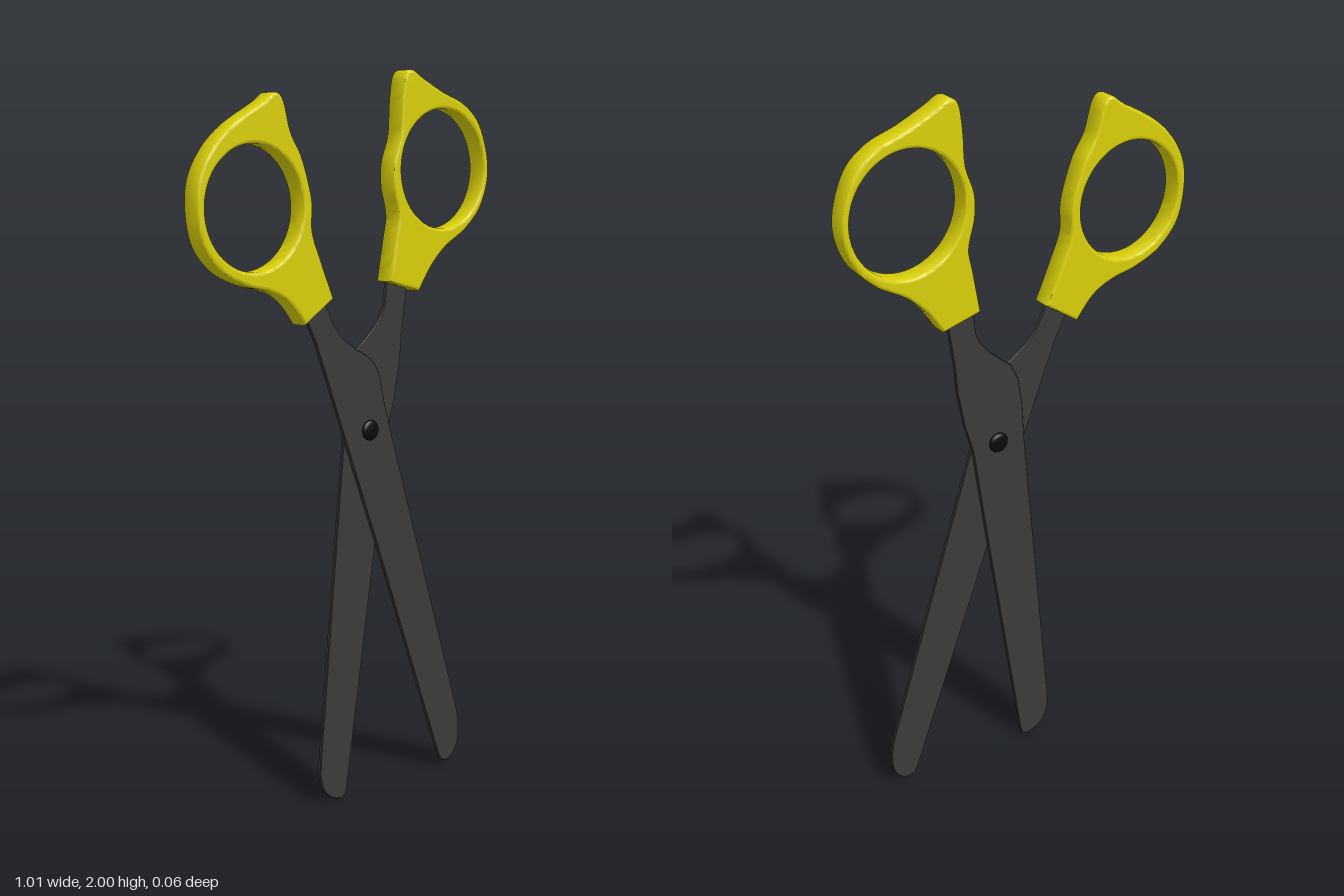
import * as THREE from 'three';
import { toCreasedNormals } from 'three/addons/utils/BufferGeometryUtils.js';

const yellow = new THREE.MeshStandardMaterial({ color: 0xd8ce08 });
const steel = new THREE.MeshStandardMaterial({ color: 0x3a3a3a });
const black = new THREE.MeshStandardMaterial({ color: 0x0a0a0a });

const vectors = (pts) => pts.map(([x, y]) => new THREE.Vector2(x, y));

function addMesh(parent, name, geometry, material) {
  const mesh = new THREE.Mesh(geometry, material);
  mesh.name = name;
  parent.add(mesh);
  return mesh;
}

// Rounded plastic handle: smooth outline, square end at the blade, finger hole.
// The outline runs counter-clockwise and the hole clockwise.
function handleGeometry(outline, [cx, cy, rx, ry]) {
  const shape = new THREE.Shape(new THREE.SplineCurve(vectors(outline)).getPoints(110));
  const hole = new THREE.Path();
  hole.absellipse(cx, cy, rx, ry, 0, Math.PI * 2, true);
  shape.holes.push(hole);
  const half = 0.03, bevel = 0.009;
  const extruded = new THREE.ExtrudeGeometry(shape, {
    depth: 2 * (half - bevel), curveSegments: 40,
    bevelThickness: bevel, bevelSize: bevel, bevelOffset: -bevel, bevelSegments: 4,
  });
  extruded.translate(0, 0, bevel - half);
  const geo = toCreasedNormals(extruded, 0.7);

  // Keep the front and back faces evenly flat
  const pos = geo.attributes.position, normal = geo.attributes.normal;
  for (let i = 0; i < pos.count; i += 3) {
    const corners = [i, i + 1, i + 2];
    const side = Math.sign(pos.getZ(i));
    if (corners.every((c) => pos.getZ(c) * side > half - 1e-4)) {
      corners.forEach((c) => normal.setXYZ(c, 0, 0, side));
    }
  }
  return geo;
}

// Flat blade with a fine chamfer, its back face at z0
function bladeGeometry(outline, z0) {
  const bevel = 0.002;
  const geo = new THREE.ExtrudeGeometry(new THREE.Shape(vectors(outline)), {
    depth: 0.0115 - 2 * bevel,
    bevelThickness: bevel, bevelSize: bevel, bevelOffset: -bevel, bevelSegments: 1,
  });
  geo.translate(0, 0, z0 + bevel);
  return toCreasedNormals(geo, 0.5);
}

export function createModel() {
  const model = new THREE.Group();
  model.name = 'scissors';

  // Front half: handle on the right, blade crossing down to the left
  const frontHalf = new THREE.Group();
  frontHalf.name = 'frontHalf';
  model.add(frontHalf);
  addMesh(frontHalf, 'frontHandle', handleGeometry([
    [-0.07, 1.403], [-0.112, 1.50], [-0.142, 1.58], [-0.143, 1.66], [-0.175, 1.765],
    [-0.212, 1.83], [-0.235, 1.907], [-0.262, 1.927], [-0.30, 1.902], [-0.39, 1.85],
    [-0.452, 1.796], [-0.495, 1.728], [-0.508, 1.653], [-0.49, 1.553], [-0.431, 1.484],
    [-0.352, 1.447], [-0.283, 1.431], [-0.22, 1.40], [-0.167, 1.338],
  ], [-0.328, 1.641, 0.155, 0.159]), yellow);
  addMesh(frontHalf, 'frontBlade', bladeGeometry([
    [-0.18, 1.45], [-0.15, 1.35], [-0.12, 1.29], [-0.085, 1.2], [-0.013, 1.01],
    [0.103, 0.706], [0.338, 0.065], [0.347, 0.041], [0.358, 0.022], [0.375, 0.014],
    [0.393, 0.018], [0.411, 0.032], [0.424, 0.054], [0.431, 0.083], [0.43, 0.125],
    [0.422, 0.165], [0.15, 1.03], [0.125, 1.115], [0.11, 1.18], [0.093, 1.215],
    [0.065, 1.24], [0.02, 1.264], [-0.025, 1.295], [-0.055, 1.33], [-0.085, 1.39],
    [-0.12, 1.45],
  ], 0), steel);

  // Back half: handle on the left, blade crossing down to the right
  const backHalf = new THREE.Group();
  backHalf.name = 'backHalf';
  model.add(backHalf);
  addMesh(backHalf, 'backHandle', handleGeometry([
    [0.24, 1.408], [0.286, 1.474], [0.341, 1.526], [0.42, 1.574], [0.482, 1.643],
    [0.506, 1.743], [0.472, 1.855], [0.41, 1.913], [0.325, 1.945], [0.251, 1.979],
    [0.209, 2], [0.183, 1.982], [0.172, 1.913], [0.167, 1.828], [0.143, 1.754],
    [0.143, 1.69], [0.161, 1.616], [0.151, 1.553], [0.13, 1.438],
  ], [0.328, 1.738, 0.157, 0.162]), yellow);
  addMesh(backHalf, 'backBlade', bladeGeometry([
    [0.15, 1.5], [0.135, 1.37], [0.12, 1.34], [0.095, 1.31], [0.03, 1.255],
    [0.008, 1.21], [-0.005, 1.13], [-0.013, 1.01], [-0.097, 0.12], [-0.098, 0.085],
    [-0.091, 0.052], [-0.077, 0.027], [-0.057, 0.011], [-0.035, 0.002], [-0.017, 0.001],
    [-0.006, 0.009], [0, 0.03], [0.103, 0.706], [0.15, 1.03], [0.175, 1.115],
    [0.195, 1.22], [0.2, 1.29], [0.218, 1.41], [0.2, 1.5],
  ], -0.0115), steel);

  // Pivot rivet with a low head on both sides
  const rivetGeo = new THREE.LatheGeometry(vectors([
    [0, -0.023], [0.018, -0.022], [0.025, -0.019], [0.028, -0.014],
    [0.028, 0.014], [0.025, 0.019], [0.018, 0.022], [0, 0.023],
  ]), 32);
  const rivet = addMesh(model, 'pivotRivet', rivetGeo, black);
  rivet.rotation.x = Math.PI / 2;
  rivet.position.set(0.072, 1.037, 0);

  return model;
}
